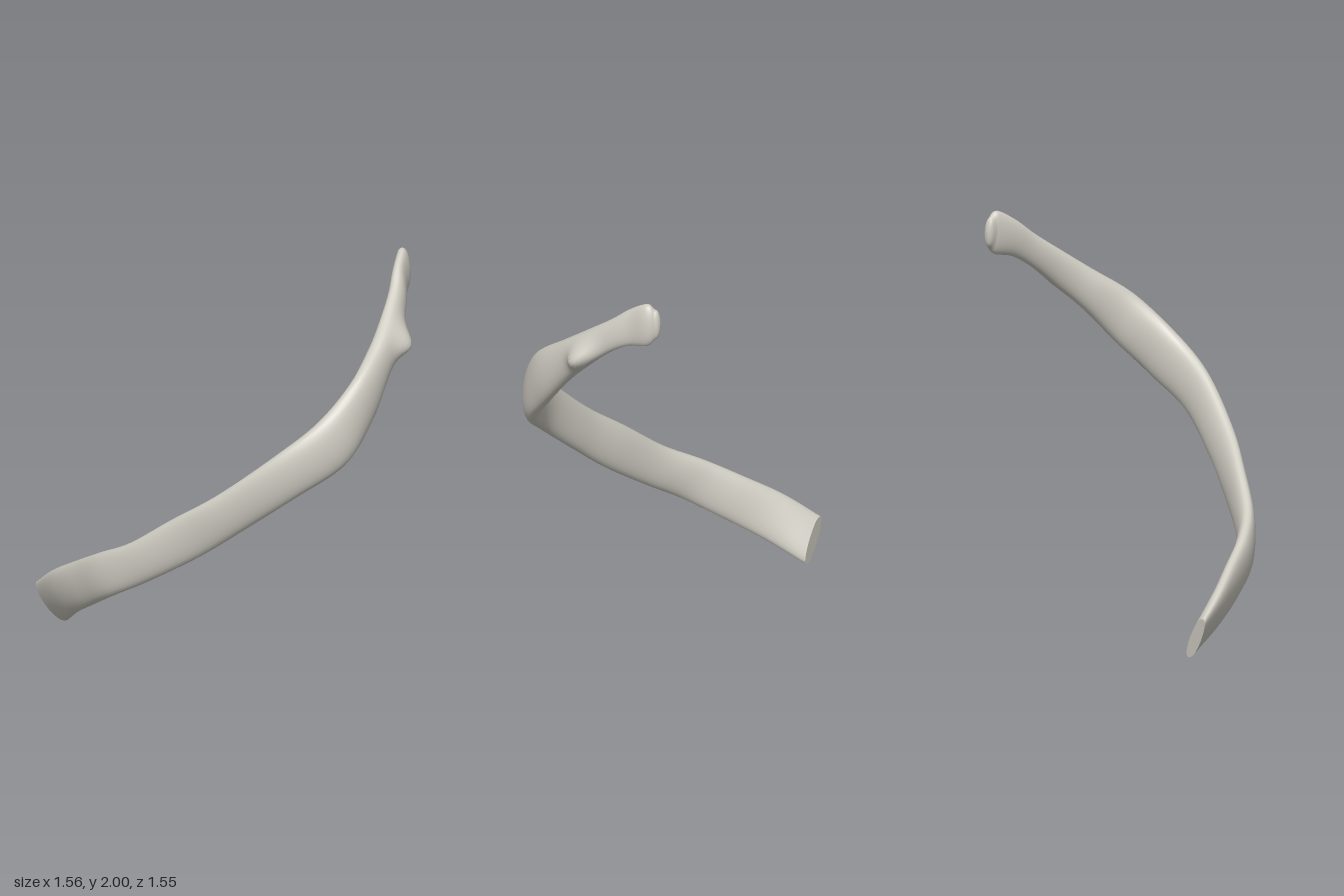
import * as THREE from 'three';

// Stations along the bone: upper edge xyz, lower edge xyz, thickness
const STATIONS = [
  [-0.74, 0.21, -0.775, -0.64, 0.005, -0.705, 0.10],
  [-0.755, 0.33, -0.60, -0.69, 0.125, -0.50, 0.09],
  [-0.742, 0.44, -0.40, -0.71, 0.235, -0.30, 0.09],
  [-0.725, 0.545, -0.20, -0.70, 0.35, -0.10, 0.09],
  [-0.67, 0.65, 0.00, -0.61, 0.465, 0.08, 0.09],
  [-0.55, 0.815, 0.20, -0.45, 0.635, 0.30, 0.09],
  [-0.41, 0.98, 0.40, -0.30, 0.80, 0.47, 0.095],
  [-0.20, 1.21, 0.60, -0.10, 0.995, 0.645, 0.10],
  [0.00, 1.38, 0.69, 0.12, 1.145, 0.72, 0.11],
  [0.20, 1.55, 0.685, 0.28, 1.30, 0.665, 0.115],
  [0.38, 1.68, 0.58, 0.42, 1.475, 0.57, 0.115],
  [0.50, 1.78, 0.475, 0.53, 1.59, 0.49, 0.10],
  [0.60, 1.87, 0.375, 0.62, 1.70, 0.39, 0.085],
  [0.67, 1.95, 0.29, 0.69, 1.765, 0.30, 0.08],
  [0.735, 2.0, 0.215, 0.75, 1.785, 0.215, 0.075],
  [0.752, 1.975, 0.175, 0.762, 1.825, 0.172, 0.055],
];
const RINGS = 120, SIDES = 28, DOME = 5;

const curve = (pick) => new THREE.CatmullRomCurve3(STATIONS.map(pick), false, 'catmullrom', 0.5);

function makeRings() {
  const upper = curve((s) => new THREE.Vector3(s[0], s[1], s[2]));
  const lower = curve((s) => new THREE.Vector3(s[3], s[4], s[5]));
  const thick = curve((s) => new THREE.Vector3(s[6], 0, 0));
  const centre = (t) => upper.getPoint(t).lerp(lower.getPoint(t), 0.5);
  // bump where the neck meets the shaft
  const bumpAt = new THREE.Vector3(0.55, 1.645, 0.50);
  const bumpDir = new THREE.Vector3(0.03, -0.015, 0.055);
  const cutSide = new THREE.Vector3(-0.82, 0, -0.57);

  const section = (t, scale, push) => {
    const c = centre(t);
    const h = upper.getPoint(t).sub(lower.getPoint(t)).multiplyScalar(0.5 * scale);
    const dir = centre(Math.min(1, t + 0.01)).sub(centre(Math.max(0, t - 0.01))).normalize();
    const out = new THREE.Vector3(-dir.z, 0, dir.x).normalize();
    // slanted cut at the low end
    out.lerp(cutSide, Math.max(0, 1 - t * 18)).normalize();
    const w = out.multiplyScalar(thick.getPoint(t).x * 0.5 * scale);
    c.addScaledVector(dir, push);
    const ring = [];
    for (let j = 0; j < SIDES; j++) {
      const a = (j / SIDES) * Math.PI * 2;
      const s = Math.sin(a);
      const p = c.clone().addScaledVector(h, Math.cos(a))
        .addScaledVector(w, Math.sign(s) * Math.pow(Math.abs(s), 0.85));
      const near = Math.exp(-p.distanceToSquared(bumpAt) / (2 * 0.055 * 0.055));
      p.addScaledVector(bumpDir, near * Math.max(0, s + 0.2));
      // shallow hollow on the outer face of the head
      const hollow = Math.exp(-Math.pow((t - 0.88) / 0.04, 2)) * Math.max(0, s) * 0.22;
      p.addScaledVector(w, -hollow);
      ring.push(p);
    }
    return ring;
  };

  const rings = [];
  for (let i = 0; i <= RINGS; i++) rings.push(section(i / RINGS, 1, 0));
  // rounded tip
  for (let k = 1; k <= DOME; k++) {
    const a = (k / DOME) * Math.PI / 2;
    rings.push(section(1, Math.max(0.02, Math.cos(a)), 0.026 * Math.sin(a)));
  }
  return rings;
}

function geometryFrom(points, index) {
  const g = new THREE.BufferGeometry().setFromPoints(points);
  g.setIndex(index);
  g.computeVertexNormals();
  return g;
}

export function createModel() {
  const group = new THREE.Group();
  group.name = 'ribBone';
  const bone = new THREE.MeshStandardMaterial({ color: 0xcfccc2 });
  bone.name = 'bone';
  const rings = makeRings();

  // lofted skin
  const index = [];
  for (let i = 0; i < rings.length - 1; i++) {
    for (let j = 0; j < SIDES; j++) {
      const k = (j + 1) % SIDES;
      const a = i * SIDES + j, b = i * SIDES + k;
      index.push(a, b, a + SIDES, b, b + SIDES, a + SIDES);
    }
  }
  // close the tip
  const last = (rings.length - 1) * SIDES;
  for (let j = 1; j < SIDES - 1; j++) index.push(last, last + j, last + j + 1);
  const shaft = new THREE.Mesh(geometryFrom(rings.flat(), index), bone);
  shaft.name = 'shaft';
  group.add(shaft);

  // flat cut face at the low end
  const capIndex = [];
  for (let j = 1; j < SIDES - 1; j++) capIndex.push(0, j + 1, j);
  const cap = new THREE.Mesh(geometryFrom(rings[0], capIndex), bone);
  cap.name = 'cutEnd';
  group.add(cap);
  return group;
}
